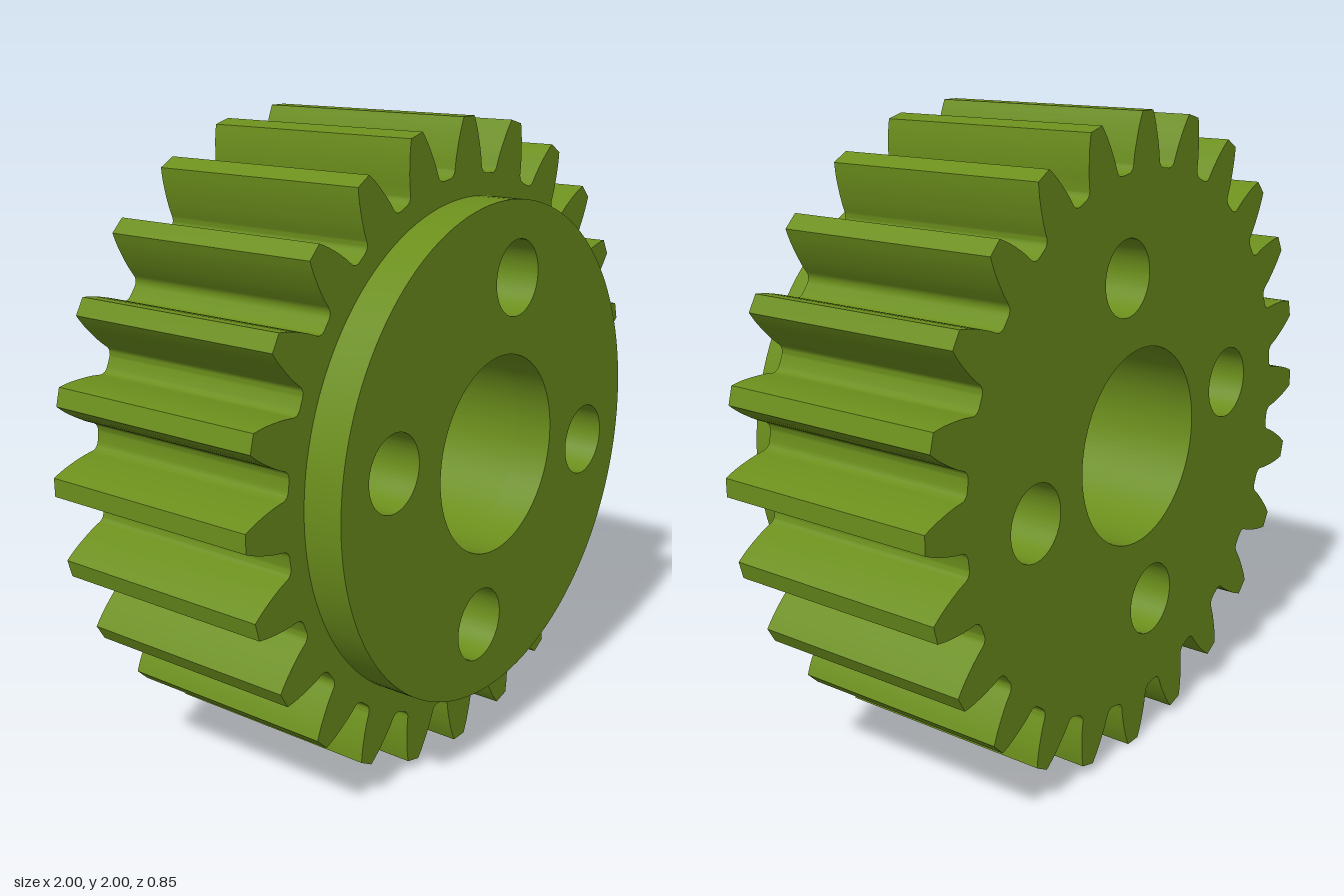
import * as THREE from 'three';
import { toCreasedNormals } from 'three/addons/utils/BufferGeometryUtils.js';

const TEETH = 24;

// Half of one tooth as [radius, half width], tip to root, ending in a fillet
function halfTooth() {
  const pts = [[1.0, 0.028], [0.98, 0.037], [0.96, 0.045], [0.935, 0.053], [0.91, 0.06], [0.885, 0.066]];
  for (let i = 0; i <= 5; i++) {
    const a = (i / 5) * Math.PI / 2;
    pts.push([0.859 - 0.024 * Math.sin(a), 0.094 - 0.024 * Math.cos(a)]);
  }
  return pts;
}

function gearOutline() {
  const half = halfTooth();
  const tooth = [
    ...half.slice().reverse().map(([r, w]) => [r, -w]),
    ...half,
  ];
  const points = [];
  for (let i = 0; i < TEETH; i++) {
    const mid = (i / TEETH) * Math.PI * 2;
    for (const [r, w] of tooth) {
      const a = mid + Math.asin(w / r);
      points.push(new THREE.Vector2(r * Math.cos(a), r * Math.sin(a)));
    }
  }
  return new THREE.Shape(points);
}

// Central bore and four bolt holes, shared by both layers
function addHoles(shape) {
  const hole = (x, y, r) => shape.holes.push(new THREE.Path().absarc(x, y, r, 0, Math.PI * 2, true));
  hole(0, 0, 0.308);
  for (let i = 0; i < 4; i++) {
    const a = THREE.MathUtils.degToRad(-9.2 + i * 90);
    hole(0.537 * Math.cos(a), 0.537 * Math.sin(a), 0.116);
  }
  return shape;
}

function extrude(name, shape, z0, z1, material) {
  const geo = new THREE.ExtrudeGeometry(addHoles(shape), {
    depth: z1 - z0, bevelEnabled: false, curveSegments: 64,
  });
  const mesh = new THREE.Mesh(toCreasedNormals(geo, 0.6), material);
  mesh.name = name;
  mesh.position.set(0, 1, z0);
  return mesh;
}

export function createModel() {
  const group = new THREE.Group();
  group.name = 'spurGear';
  const green = new THREE.MeshStandardMaterial({ color: 0x6b8e1c });

  // Toothed wheel
  group.add(extrude('toothedWheel', gearOutline(), -0.425, 0.3, green));

  // Raised round hub on the front
  const disc = new THREE.Shape().absarc(0, 0, 0.768, 0, Math.PI * 2, false);
  group.add(extrude('frontHub', disc, 0.3, 0.425, green));

  return group;
}
